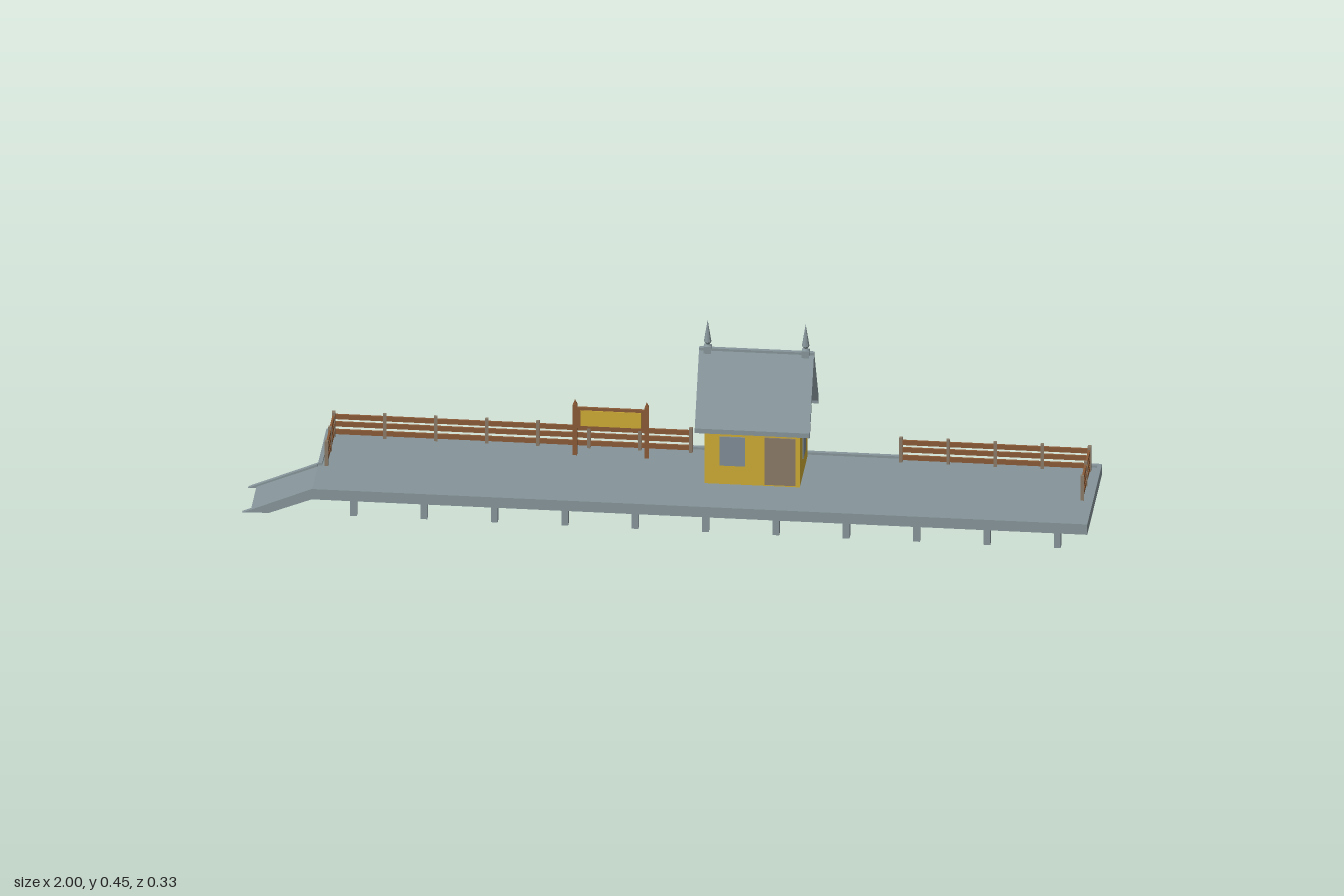
import * as THREE from 'three';

const mat = (name, color) => new THREE.MeshStandardMaterial({ name, color });

export function createModel() {
  const root = new THREE.Group();
  root.name = 'stationPlatform';
  const grey = mat('greyPaint', 0x86959a);
  const yellow = mat('yellowPaint', 0xcdab36);
  const wood = mat('brownWood', 0x8a5a36);
  const weathered = mat('weatheredWood', 0x8a7b68);
  const glass = mat('windowGlass', 0x808d96);

  // Box given by its extents on each axis
  function box(name, m, x0, x1, y0, y1, z0, z1, parent = root) {
    const mesh = new THREE.Mesh(new THREE.BoxGeometry(x1 - x0, y1 - y0, z1 - z0), m);
    mesh.position.set((x0 + x1) / 2, (y0 + y1) / 2, (z0 + z1) / 2);
    mesh.name = name;
    parent.add(mesh);
    return mesh;
  }
  // Side profile: [x, y] points pushed along z
  function profileZ(name, m, pts, z0, z1) {
    const shape = new THREE.Shape(pts.map(p => new THREE.Vector2(...p)));
    const mesh = new THREE.Mesh(new THREE.ExtrudeGeometry(shape, { depth: z1 - z0, bevelEnabled: false }), m);
    mesh.position.z = z0;
    mesh.name = name;
    root.add(mesh);
  }
  // End profile: [z, y] points pushed along x
  function profileX(name, m, pts, x0, x1) {
    const shape = new THREE.Shape(pts.map(([z, y]) => new THREE.Vector2(-z, y)));
    const geo = new THREE.ExtrudeGeometry(shape, { depth: x1 - x0, bevelEnabled: false });
    geo.rotateY(Math.PI / 2);
    const mesh = new THREE.Mesh(geo, m);
    mesh.position.x = x0;
    mesh.name = name;
    root.add(mesh);
  }

  // Deck with edge boards
  const L = -0.835, Z = 0.166, T = 0.01, floor = 0.064;
  box('deck', grey, L + T, 1 - T, 0.05, floor, -Z + T, Z - T);
  box('frontEdge', grey, L, 1, 0.043, 0.07, Z - T, Z);
  box('backEdge', grey, L, 1, 0.043, 0.07, -Z, -Z + T);
  box('rightEdge', grey, 1 - T, 1, 0.043, 0.07, -Z + T, Z - T);
  box('leftEdge', grey, L, L + T, 0.043, 0.07, -Z + T, 0.023);
  box('rampEdge', grey, L, L + T, 0.043, floor, 0.023, Z - T);

  // Supporting posts
  for (const z of [-0.147, 0.147]) {
    for (let i = 0; i < 11; i++) {
      const x = -0.737 + i * 0.1665;
      box('supportPost', grey, x - 0.008, x + 0.008, 0, 0.052, z - 0.009, z + 0.009);
    }
  }
  box('supportPost', grey, -0.833, -0.817, 0, 0.052, -0.156, -0.138);

  // Ramp with side boards
  profileZ('rampSlab', grey, [[-0.98, 0.004], [-0.955, 0.004], [L, 0.052], [L, floor]], 0.029, Z - 0.006);
  const board = [[-1, 0], [-0.935, 0.003], [L, 0.043], [L, 0.07]];
  profileZ('rampSideBoard', grey, board, 0.02, 0.03);
  profileZ('rampSideBoard', grey, board, Z - T, Z);

  // Fence run between two points, with evenly spaced posts and three rails
  function fence(xa, za, xb, zb, count) {
    const g = new THREE.Group();
    g.name = 'fence';
    const len = Math.hypot(xb - xa, zb - za);
    for (let i = 0; i < count; i++) {
      const x = len * i / (count - 1);
      box('fencePost', weathered, x - 0.004, x + 0.004, floor, 0.128, -0.004, 0.004, g);
    }
    for (const y of [0.076, 0.096, 0.115]) {
      box('fenceRail', wood, 0, len, y - 0.006, y + 0.006, -0.0025, 0.0025, g);
    }
    g.position.set(xa, 0, za);
    g.rotation.y = -Math.atan2(zb - za, xb - xa);
    root.add(g);
  }
  fence(-0.815, -0.14, 0.03, -0.14, 8);
  fence(0.527, -0.14, 0.973, -0.14, 5);
  fence(-0.815, -0.136, -0.815, 0.022, 3);
  fence(0.973, -0.136, 0.973, 0.022, 3);

  // Waiting hut walls and gables
  const hx0 = 0.08, hx1 = 0.305, hz0 = -0.145, hz1 = 0.024, mid = -0.06;
  profileX('hutWalls', yellow,
    [[hz1, floor], [hz1, 0.216], [mid, 0.364], [hz0, 0.216], [hz0, floor]], hx0, hx1);
  for (const [a, b] of [[hx0 - 0.003, hx0], [hx1, hx1 + 0.003]]) {
    box('gableBand', grey, a, b, 0.217, 0.23, hz0 + 0.001, hz1 - 0.001);
    box('sideWindow', glass, a, b, 0.113, 0.188, -0.09, -0.03);
  }

  // Front and back openings
  box('frontWindow', glass, 0.115, 0.175, 0.113, 0.188, hz1, hz1 + 0.003);
  box('door', weathered, 0.222, 0.295, 0.068, 0.19, hz1, hz1 + 0.003);
  for (const x of [0.122, 0.218]) {
    box('backWindow', glass, x, x + 0.06, 0.113, 0.188, hz0 - 0.003, hz0);
  }

  // Steep roof
  profileX('roof', grey, [
    [0.04, 0.201], [0.04, 0.213], [mid + 0.005, 0.372], [mid - 0.005, 0.372], [-0.161, 0.213],
    [-0.161, 0.201], [-0.151, 0.201], [-0.151, 0.208], [mid, 0.362], [0.03, 0.208], [0.03, 0.201],
  ], 0.058, 0.33);
  box('ridgeCap', grey, 0.058, 0.33, 0.368, 0.378, mid - 0.005, mid + 0.005);

  // Roof finials
  for (const x of [0.078, 0.31]) {
    box('finialBase', grey, x - 0.009, x + 0.009, 0.365, 0.383, mid - 0.009, mid + 0.009);
    const pts = [[0, 0.383], [0.009, 0.383], [0.005, 0.388], [0.009, 0.394], [0, 0.45]];
    const spike = new THREE.Mesh(
      new THREE.LatheGeometry(pts.map(p => new THREE.Vector2(...p)), 8).toNonIndexed(), grey);
    spike.geometry.computeVertexNormals();
    spike.position.set(x, 0, mid);
    spike.name = 'finialSpike';
    root.add(spike);
  }

  // Notice board
  for (const x of [-0.24, -0.07]) {
    box('signPost', wood, x - 0.005, x + 0.005, floor, 0.195, -0.105, -0.095);
    const tip = new THREE.Mesh(new THREE.ConeGeometry(0.007, 0.013, 4), wood);
    tip.rotation.y = Math.PI / 4;
    tip.position.set(x, 0.2015, -0.1);
    tip.name = 'signPostTip';
    root.add(tip);
  }
  box('signBoard', wood, -0.235, -0.075, 0.134, 0.188, -0.103, -0.097);
  box('signPanel', yellow, -0.227, -0.083, 0.141, 0.181, -0.097, -0.095);

  return root;
}
